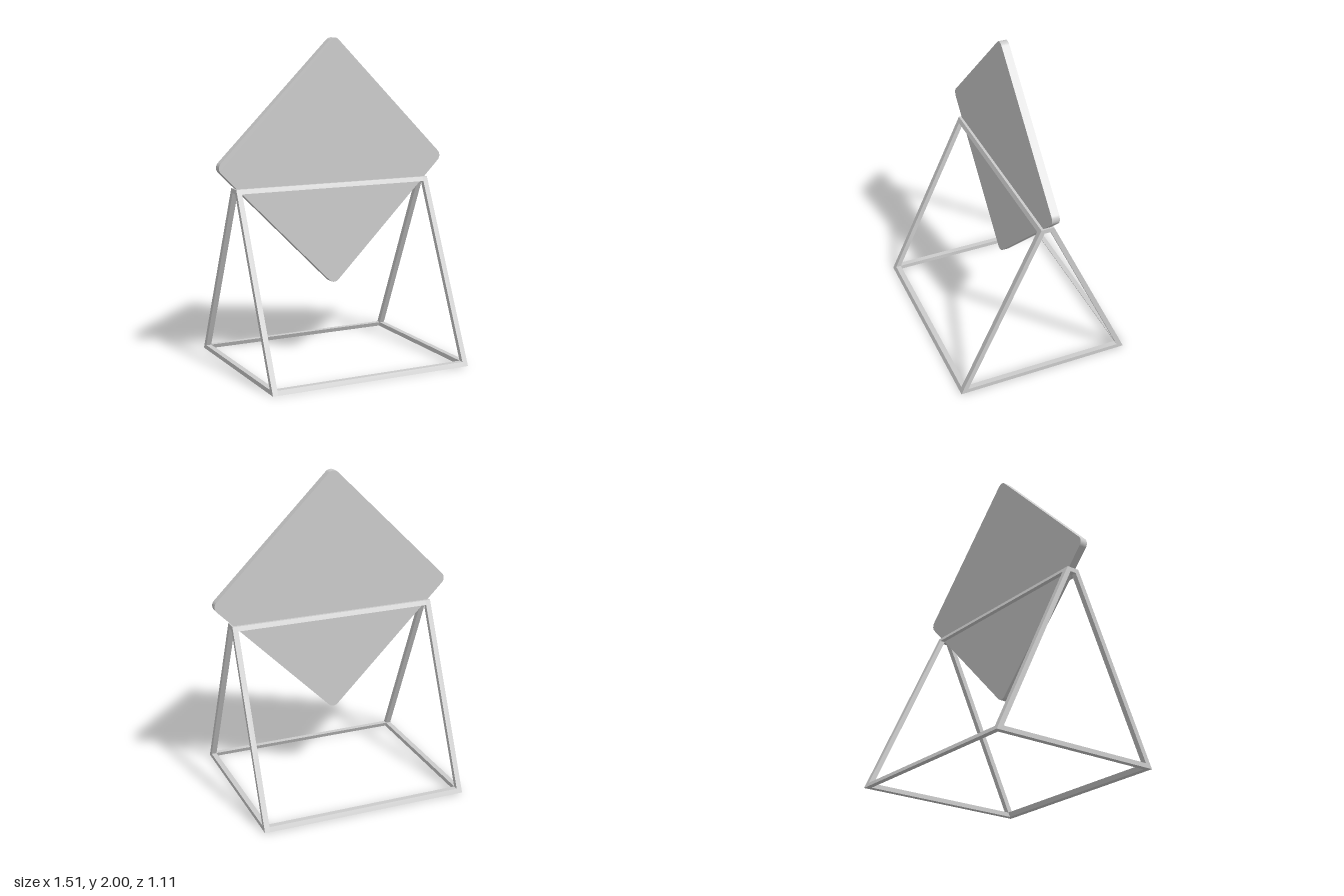
import * as THREE from 'three';

const material = new THREE.MeshStandardMaterial({ color: 0xcccccc, flatShading: true });

const H = 1.115;          // stand height
const FOOT = 0.555;       // half depth at the floor
const TOP = 0.04;         // half depth at the apex
const HALF_W = 0.655;     // half width of the stand
const BAR = 0.033;        // bar thickness
const RAIL = 0.027;       // rail height

// outer half depth of the slanted stand at height y
const depthAt = (y) => FOOT + (TOP - FOOT) * (y / H);

// extrude a (z, y) outline along x, centred on the given x
function prismAlongX(points, width, x, name, hole) {
  const shape = new THREE.Shape(points.map(([z, y]) => new THREE.Vector2(z, y)));
  if (hole) shape.holes.push(new THREE.Path(hole.map(([z, y]) => new THREE.Vector2(z, y))));
  const geometry = new THREE.ExtrudeGeometry(shape, { depth: width, bevelEnabled: false });
  geometry.translate(0, 0, -width / 2);
  geometry.rotateY(-Math.PI / 2);
  const mesh = new THREE.Mesh(geometry, material);
  mesh.position.x = x;
  mesh.name = name;
  return mesh;
}

function createStand() {
  const stand = new THREE.Group();
  stand.name = 'stand';

  // two A-shaped side frames
  const low = depthAt(RAIL) - BAR;
  const high = depthAt(H - RAIL) - BAR;
  const outline = [[-FOOT, 0], [FOOT, 0], [TOP, H], [-TOP, H]];
  const hole = [[-low, RAIL], [-high, H - RAIL], [high, H - RAIL], [low, RAIL]];
  for (const [side, name] of [[1, 'leftSideFrame'], [-1, 'rightSideFrame']]) {
    stand.add(prismAlongX(outline, BAR, side * (HALF_W - BAR / 2), name, hole));
  }

  // cross rails between the side frames
  const span = 2 * (HALF_W - BAR);
  const under = depthAt(H - RAIL);
  stand.add(prismAlongX([[-under, H - RAIL], [under, H - RAIL], [TOP, H], [-TOP, H]], span, 0, 'topRail'));
  const outer = depthAt(RAIL);
  const front = [[FOOT - BAR, 0], [FOOT, 0], [outer, RAIL], [outer - BAR, RAIL]];
  stand.add(prismAlongX(front, span, 0, 'frontFloorRail'));
  const back = front.map(([z, y]) => [-z, y]).reverse();
  stand.add(prismAlongX(back, span, 0, 'backFloorRail'));
  return stand;
}

function createPanel() {
  // rounded square turned on its corner
  const a = 0.547, r = 0.043, thickness = 0.048;
  const shape = new THREE.Shape();
  for (let i = 0; i < 4; i++) {
    const angle = Math.PI / 4 + i * Math.PI / 2;
    const cx = Math.sign(Math.cos(angle)) * (a - r);
    const cy = Math.sign(Math.sin(angle)) * (a - r);
    shape.absarc(cx, cy, r, angle - Math.PI / 4, angle + Math.PI / 4, false);
  }
  shape.closePath();
  const geometry = new THREE.ExtrudeGeometry(shape, { depth: thickness, bevelEnabled: false, curveSegments: 6 });
  geometry.translate(0, 0, -thickness / 2);
  const panel = new THREE.Mesh(geometry, material);
  panel.rotation.z = Math.PI / 4;
  panel.position.y = 1.245;
  panel.name = 'diamondPanel';
  return panel;
}

export function createModel() {
  const model = new THREE.Group();
  model.name = 'signStand';
  model.add(createStand(), createPanel());
  return model;
}
